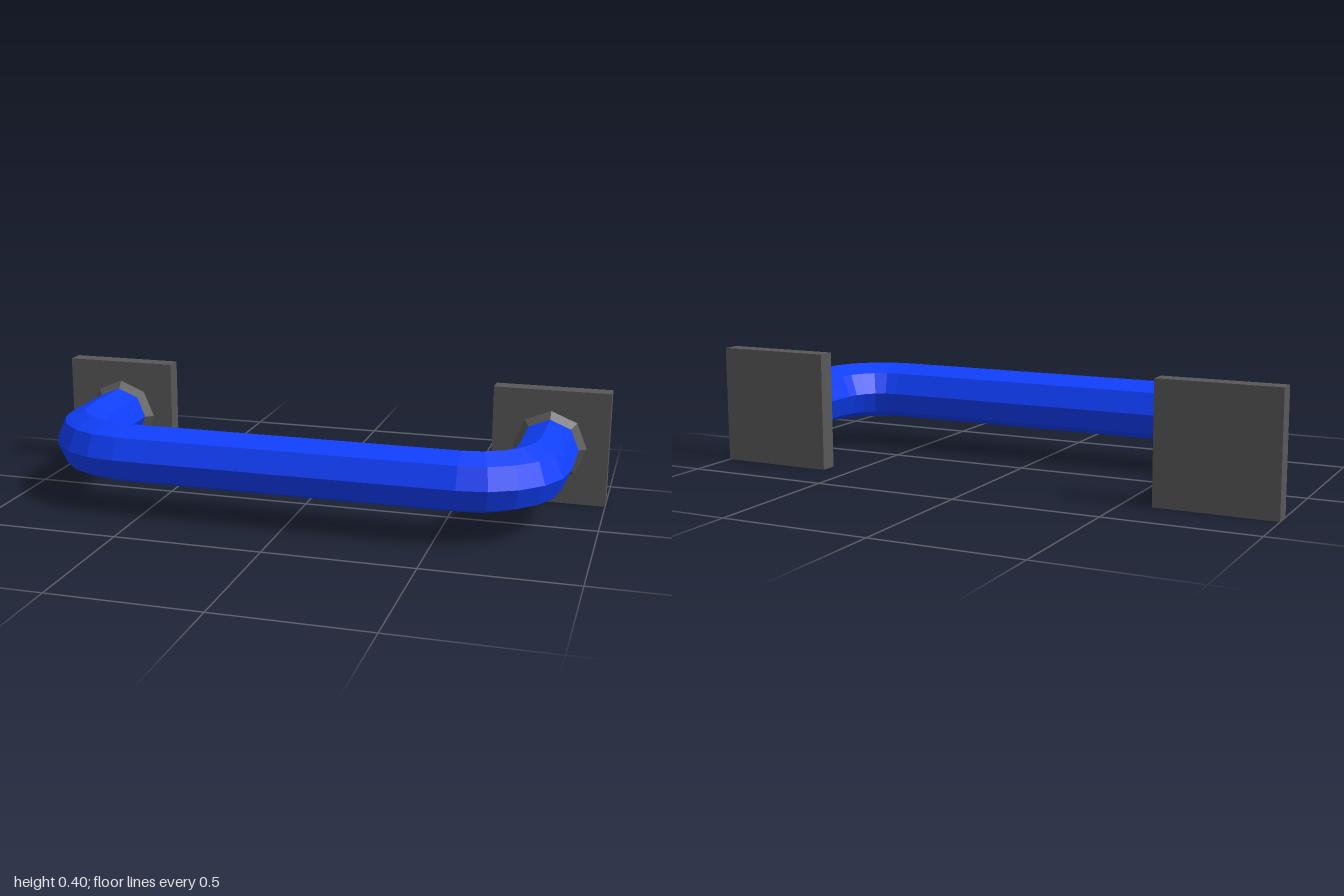
import * as THREE from 'three';

const SIDES = 8;
const TUBE = 0.102; // grip radius
const BEND = 0.221; // centre-line bend radius
const MID_Y = 0.2;
const POST_X = 0.8;
const PLATE_Z = -0.263;
const FLANGE_Z = -0.24;

// Octagonal bar swept along two posts, two rounded corners and a straight grip
function gripGeometry() {
  const steps = 5;
  const cx = POST_X - BEND;
  const rings = [{ x: POST_X, z: FLANGE_Z, a: 0 }];
  for (const side of [0, 1]) {
    for (let i = 0; i <= steps; i++) {
      const a = (side + i / steps) * Math.PI / 2;
      const centre = side ? -cx : cx;
      rings.push({ x: centre + BEND * Math.cos(a), z: BEND * Math.sin(a), a });
    }
  }
  rings.push({ x: -POST_X, z: FLANGE_Z, a: Math.PI });

  const positions = [];
  const index = [];
  rings.forEach(({ x, z, a }, s) => {
    for (let j = 0; j < SIDES; j++) {
      const t = j / SIDES * Math.PI * 2;
      const out = TUBE * Math.cos(t);
      positions.push(x + out * Math.cos(a), MID_Y + TUBE * Math.sin(t), z + out * Math.sin(a));
      if (s < rings.length - 1) {
        const k = (j + 1) % SIDES;
        const p = s * SIDES + j, q = s * SIDES + k;
        index.push(p, q, p + SIDES, q, q + SIDES, p + SIDES);
      }
    }
  });
  const geometry = new THREE.BufferGeometry();
  geometry.setAttribute('position', new THREE.Float32BufferAttribute(positions, 3));
  geometry.setIndex(index);
  const flat = geometry.toNonIndexed();
  flat.computeVertexNormals();
  return flat;
}

export function createModel() {
  const model = new THREE.Group();
  model.name = 'wallHandle';
  const blue = new THREE.MeshStandardMaterial({ color: 0x1040ff, flatShading: true });
  const grey = new THREE.MeshStandardMaterial({ color: 0x585858, flatShading: true });

  const add = (name, geometry, material, x = 0, y = 0, z = 0) => {
    const mesh = new THREE.Mesh(geometry, material);
    mesh.name = name;
    mesh.position.set(x, y, z);
    model.add(mesh);
  };

  add('grip', gripGeometry(), blue);

  // Mounting plate and flared collar at each end
  const plate = new THREE.BoxGeometry(0.4, 0.4, 0.06);
  const depth = FLANGE_Z - PLATE_Z;
  const collar = new THREE.CylinderGeometry(TUBE, 0.127, depth, SIDES);
  collar.rotateX(Math.PI / 2);
  for (const [side, sign] of [['left', 1], ['right', -1]]) {
    add(side + 'Plate', plate, grey, sign * POST_X, MID_Y, PLATE_Z - 0.03);
    add(side + 'Collar', collar, grey, sign * POST_X, MID_Y, PLATE_Z + depth / 2);
  }
  return model;
}
